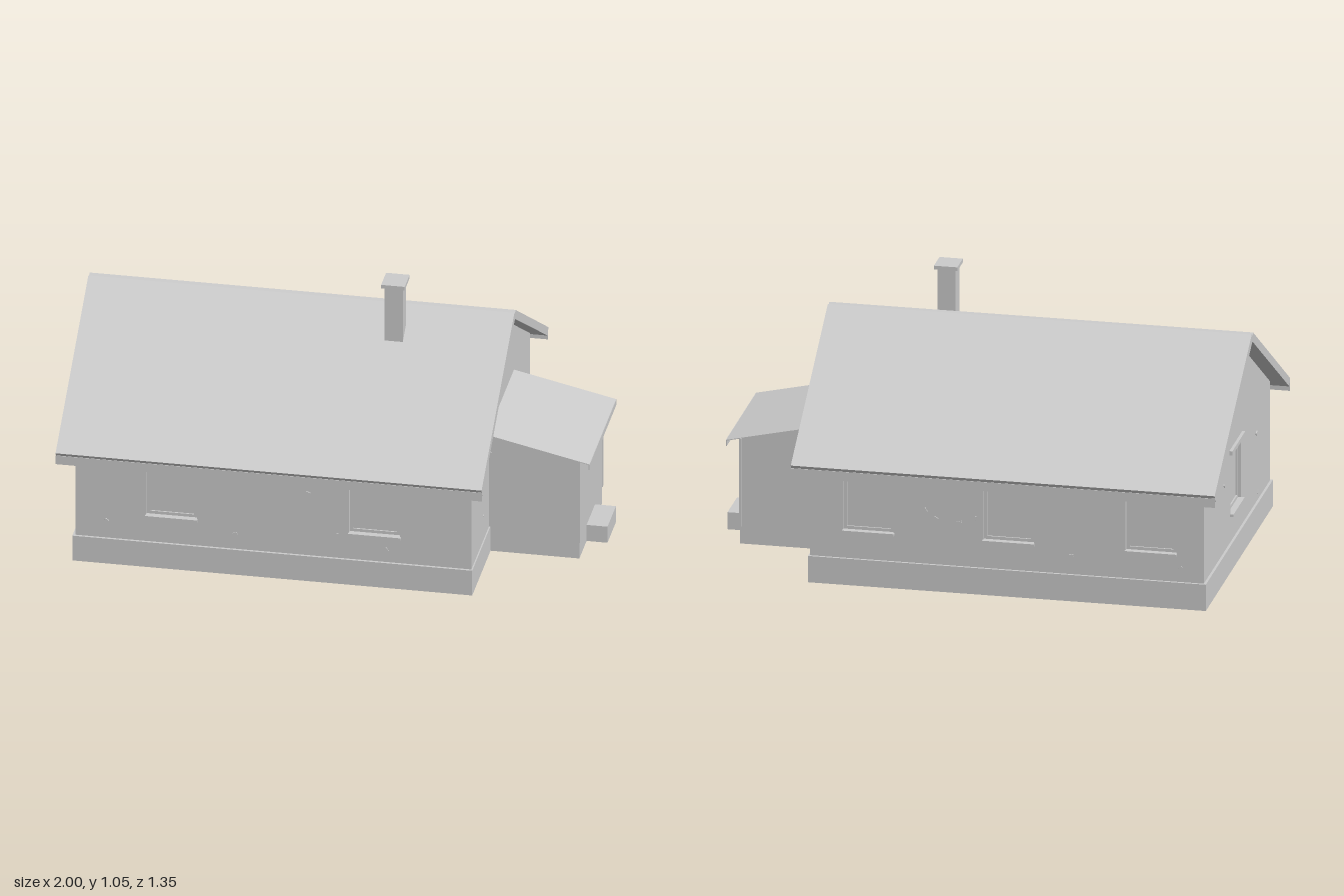
import * as THREE from 'three';

export function createModel() {
  const house = new THREE.Group();
  house.name = 'house';
  const plaster = new THREE.MeshStandardMaterial({ color: 0xcccccc, side: THREE.DoubleSide });
  plaster.name = 'pale grey';

  const add = (parent, name, geometry) => {
    const mesh = new THREE.Mesh(geometry, plaster);
    mesh.name = name;
    parent.add(mesh);
    return mesh;
  };
  // Box given by its limits on each axis
  const box = (parent, name, [x0, x1], [y0, y1], [z0, z1]) => {
    const mesh = add(parent, name, new THREE.BoxGeometry(x1 - x0, y1 - y0, z1 - z0));
    mesh.position.set((x0 + x1) / 2, (y0 + y1) / 2, (z0 + z1) / 2);
    return mesh;
  };
  const shapeOf = (points) => new THREE.Shape(points.map(([x, y]) => new THREE.Vector2(x, y)));
  const rect = (x0, x1, y0, y1) => shapeOf([[x0, y0], [x1, y0], [x1, y1], [x0, y1]]);
  const extrude = (shape, depth) => new THREE.ExtrudeGeometry(shape, { depth, bevelEnabled: false });

  const THICK = 0.02;
  const Y0 = 0.215, Y1 = 0.455;   // window sill and head

  // One outside wall with its openings; local +z points outdoors
  function facade(name, outline, windows, vents, chips, position, turn) {
    const group = new THREE.Group();
    group.name = name;
    const wall = shapeOf(outline);
    const openings = [
      ...windows.map((x) => [x - 0.0975, x + 0.0975, Y0, Y1]),
      ...vents.map((x) => [x - 0.042, x + 0.042, 0.63, 0.71]),
    ];
    for (const [x0, x1, y0, y1] of openings) {
      wall.holes.push(rect(x0, x1, y0, y1));
      // Sash around a recessed pane
      const sash = rect(x0, x1, y0, y1);
      const w = (x1 - x0) * 0.07;
      sash.holes.push(rect(x0 + w, x1 - w, y0 + w, y1 - w));
      add(group, 'windowSash', extrude(sash, 0.006)).position.z = -0.018;
      box(group, 'windowPane', [x0, x1], [y0, y1], [-0.022, -0.018]);
    }
    add(group, 'wall', extrude(wall, THICK)).position.z = -THICK;
    // Projecting sills and lintels
    for (const x of windows) {
      box(group, 'windowSill', [x - 0.1, x + 0.1], [Y0 - 0.007, Y0 + 0.002], [-0.018, 0.013]);
      box(group, 'windowLintel', [x - 0.115, x + 0.115], [Y1 + 0.003, Y1 + 0.02], [0, 0.012]);
    }
    // Small flaws in the plaster
    chips.forEach(([x, y], i) => {
      const chip = add(group, 'plasterChip', new THREE.BoxGeometry(0.018, 0.008, 0.004));
      chip.position.set(x, y, 0.002);
      chip.rotation.z = i * 0.9 - 0.6;
    });
    group.position.set(...position);
    group.rotation.y = turn;
    house.add(group);
  }

  const side = (x0, x1) => [[x0, 0], [x1, 0], [x1, 0.502], [x0, 0.502]];
  const gable = [[-0.589, 0], [0.589, 0], [0.589, 0.502], [0, 0.869], [-0.589, 0.502]];
  facade('frontWall', side(-0.94, 0.575), [-0.572, 0.205], [],
    [[-0.82, 0.18], [-0.33, 0.17], [0.06, 0.2], [0.25, 0.16], [-0.05, 0.37]], [0, 0, 0.59], 0);
  facade('backWall', side(-0.575, 0.94), [-0.35, 0.19, 0.737], [],
    [[-0.09, 0.29], [0, 0.28], [0.06, 0.3], [-0.13, 0.32], [0.43, 0.18], [0.85, 0.16]],
    [0, 0, -0.59], Math.PI);
  facade('leftGableWall', gable, [], [0], [[-0.35, 0.21], [0.4, 0.37]], [0.575, 0, 0], Math.PI / 2);
  facade('rightGableWall', gable, [-0.02], [0],
    [[-0.23, 0.37], [0.345, 0.38], [0.37, 0.14]], [-0.94, 0, 0], -Math.PI / 2);

  // Plinth ring around the foot of the walls
  const ring = rect(-0.95, 0.58, -0.6, 0.6);
  ring.holes.push(rect(-0.93, 0.56, -0.575, 0.575));
  const plinth = add(house, 'plinth', extrude(ring, 0.105));
  plinth.rotation.x = -Math.PI / 2;

  // Ceiling under the attic
  box(house, 'ceiling', [-0.93, 0.565], [0.497, 0.502], [-0.58, 0.58]);

  // Gabled roof with a shallow groove along the ridge
  const half = [[0.012, 0.902], [0.675, 0.488], [0.66, 0.46]];
  const profile = [[0, 0.892], ...half, [0, 0.87], ...half.map(([x, y]) => [-x, y]).reverse()];
  const roof = add(house, 'roof', extrude(shapeOf(profile), 1.63));
  roof.rotation.y = Math.PI / 2;
  roof.position.x = -1;

  // Fascia boards below the eaves
  for (const s of [-1, 1]) {
    box(house, 'eavesFascia', [-1, 0.63], [0.44, 0.476], [s * 0.669 - 0.002, s * 0.669 + 0.002]);
  }

  // Chimney
  box(house, 'chimneyStack', [0.16, 0.23], [0.79, 1.04], [0.085, 0.155]);
  box(house, 'chimneyCap', [0.15, 0.24], [1.04, 1.055], [0.07, 0.17]);

  // Porch with a sloping top
  const porchTop = (x) => 0.508 - (x - 0.575) * 0.223;
  const porchSide = shapeOf([[0.575, 0], [0.92, 0], [0.92, porchTop(0.92)], [0.575, porchTop(0.575)]]);
  add(house, 'porch', extrude(porchSide, 0.46)).position.z = -0.23;

  // Thin lean-to porch roof and its fascia
  const sheet = shapeOf([[0.575, porchTop(0.575)], [0.967, porchTop(0.967)],
    [0.967, porchTop(0.967) + 0.003], [0.575, porchTop(0.575) + 0.003]]);
  add(house, 'porchRoof', extrude(sheet, 0.54)).position.z = -0.27;
  box(house, 'porchFascia', [0.963, 0.967], [0.4, 0.424], [-0.27, 0.27]);

  // Corner trims of the porch
  for (const x of [0.581, 0.918]) {
    for (const z of [-0.23, 0.23]) {
      box(house, 'porchCornerTrim', [x - 0.005, x + 0.005], [0.07, 0.42], [z - 0.006, z + 0.006]);
    }
  }

  // Door step
  box(house, 'step', [0.915, 1], [0, 0.068], [-0.085, 0.085]);

  return house;
}
